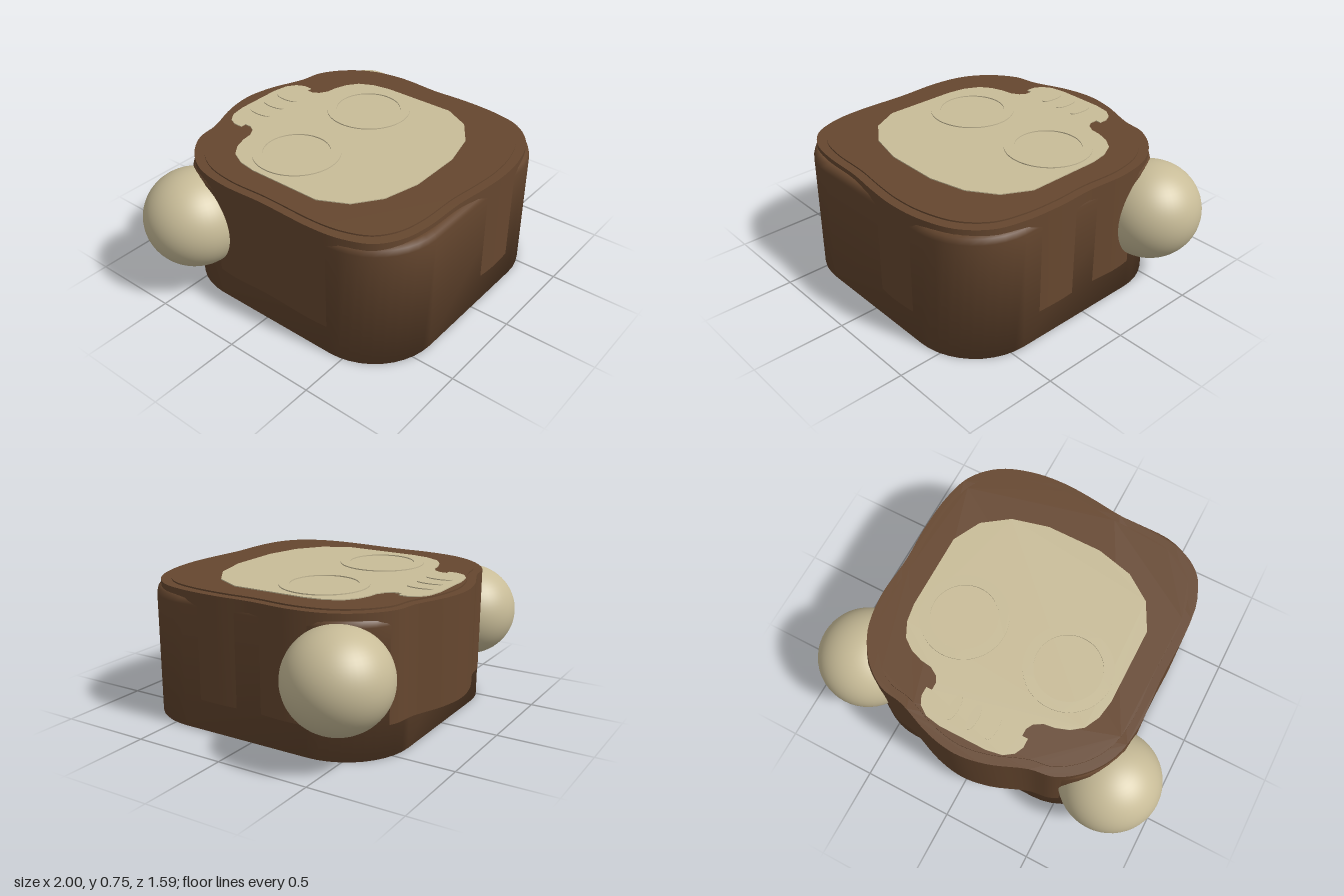
import * as THREE from 'three';
import { mergeVertices, toCreasedNormals } from 'three/addons/utils/BufferGeometryUtils.js';

const brown = new THREE.MeshStandardMaterial({ color: 0x66472f });
brown.name = 'brown';
const tan = new THREE.MeshStandardMaterial({ color: 0xc8bc98 });
tan.name = 'tan';

// Upright slab from an outline drawn in x and z
function slab(name, shape, bottom, top, material) {
  const flat = new THREE.ExtrudeGeometry(shape, { depth: top - bottom, bevelEnabled: false, curveSegments: 40 });
  flat.rotateX(Math.PI / 2).translate(0, top, 0);
  const mesh = new THREE.Mesh(toCreasedNormals(flat, 0.6), material);
  mesh.name = name;
  return mesh;
}

// Closed smooth outline, optionally shrunk about the origin
function smoothOutline(points, scale = 1) {
  const curve = new THREE.CatmullRomCurve3(
    points.map(([x, z]) => new THREE.Vector3(x * scale, z * scale, 0)), true, 'centripetal');
  return new THREE.Shape(curve.getPoints(140).slice(0, -1).map((p) => new THREE.Vector2(p.x, p.y)));
}

// Rounded rectangle as a loop of [x, z] points
function roundedLoop(halfX, back, front, radius) {
  const loop = [];
  const corners = [[1, 1], [-1, 1], [-1, -1], [1, -1]];
  corners.forEach(([sx, sz], c) => {
    for (let i = 0; i <= 10; i++) {
      const a = (c + i / 10) * Math.PI / 2;
      const cz = sz > 0 ? front - radius : back + radius;
      loop.push([sx * (halfX - radius) + radius * Math.cos(a), cz + radius * Math.sin(a)]);
    }
  });
  return loop;
}

// Block with shared normals from stacked loops, capped at both ends
function createBody() {
  const rings = [[0, 0], [0.66, 0], [0.69, 0.008], [0.705, 0.03]];
  const position = [];
  const index = [];
  let n = 0;
  for (const [y, inset] of rings) {
    const loop = roundedLoop(0.738 - inset, -0.69 + inset, 0.782 - inset, 0.36 - inset);
    n = loop.length;
    for (const [x, z] of loop) position.push(x, y, z);
  }
  const bottom = rings.length * n;
  const top = bottom + 1;
  position.push(0, 0, 0.05, 0, 0.705, 0.05);
  const last = (rings.length - 1) * n;
  for (let i = 0; i < n; i++) {
    const j = (i + 1) % n;
    for (let r = 0; r < rings.length - 1; r++) {
      const a = r * n + i, b = r * n + j;
      index.push(a, a + n, b, b, a + n, b + n);
    }
    index.push(bottom, i, j);
    index.push(top, last + j, last + i);
  }
  let geometry = new THREE.BufferGeometry();
  geometry.setAttribute('position', new THREE.Float32BufferAttribute(position, 3));
  geometry.setIndex(index);
  geometry = mergeVertices(geometry);
  geometry.computeVertexNormals();
  const mesh = new THREE.Mesh(geometry, brown);
  mesh.name = 'body';
  return mesh;
}

export function createModel() {
  const model = new THREE.Group();
  model.name = 'animalBox';
  model.add(createBody());

  // Wavy outer shell and its thin raised lid
  const wave = [
    [0, -0.8], [-0.16, -0.775], [-0.36, -0.7], [-0.49, -0.675], [-0.62, -0.58], [-0.71, -0.44],
    [-0.745, -0.25], [-0.738, 0], [-0.743, 0.35], [-0.72, 0.5], [-0.66, 0.63], [-0.55, 0.71],
    [-0.4, 0.745], [-0.15, 0.755], [0.03, 0.778], [0.2, 0.79], [0.38, 0.772], [0.56, 0.705],
    [0.68, 0.58], [0.727, 0.42], [0.742, 0.2], [0.735, 0], [0.747, -0.25], [0.71, -0.44],
    [0.62, -0.58], [0.49, -0.675], [0.36, -0.7], [0.16, -0.775],
  ];
  model.add(slab('shell', smoothOutline(wave), 0.165, 0.73, brown));
  model.add(slab('lid', smoothOutline(wave, 0.94), 0.73, 0.738, brown));

  // Face plate: broad head narrowing to the jaw, mirrored across x
  const half = [
    [0.15, 0.51], [0.35, 0.46], [0.49, 0.36], [0.567, 0.21], [0.567, -0.21], [0.55, -0.31],
    [0.51, -0.39], [0.45, -0.435], [0.38, -0.46], [0.32, -0.468], [0.275, -0.495], [0.255, -0.53],
    [0.255, -0.57], [0.287, -0.57], [0.287, -0.62], [0.265, -0.665], [0.215, -0.7], [0.13, -0.715],
  ];
  const mirrored = half.map(([x, z]) => [-x, z]).reverse();
  const face = new THREE.Shape([...half, ...mirrored].map(([x, z]) => new THREE.Vector2(x, z)));
  model.add(slab('facePlate', face, 0.736, 0.743, tan));

  // Eye rings
  for (const side of [-1, 1]) {
    const ring = new THREE.Shape();
    ring.absarc(side * 0.3, -0.153, 0.232, 0, Math.PI * 2);
    const hole = new THREE.Path();
    hole.absarc(side * 0.3, -0.153, 0.178, 0, Math.PI * 2, true);
    ring.holes.push(hole);
    model.add(slab(side > 0 ? 'leftEyeRing' : 'rightEyeRing', ring, 0.742, 0.749, tan));
  }

  // Small oval ridges on the jaw
  for (const x of [-0.11, 0, 0.11]) {
    const oval = new THREE.Shape();
    oval.absellipse(x, -0.597, 0.024, 0.072, 0, Math.PI * 2);
    model.add(slab('jawRidge', oval, 0.742, 0.748, tan));
  }

  // Round ears
  for (const side of [-1, 1]) {
    const ear = new THREE.Mesh(new THREE.SphereGeometry(0.272, 48, 32), tan);
    ear.name = side > 0 ? 'leftEar' : 'rightEar';
    ear.scale.y = 0.963;
    ear.position.set(side * 0.727, 0.424, -0.497);
    model.add(ear);
  }
  return model;
}
